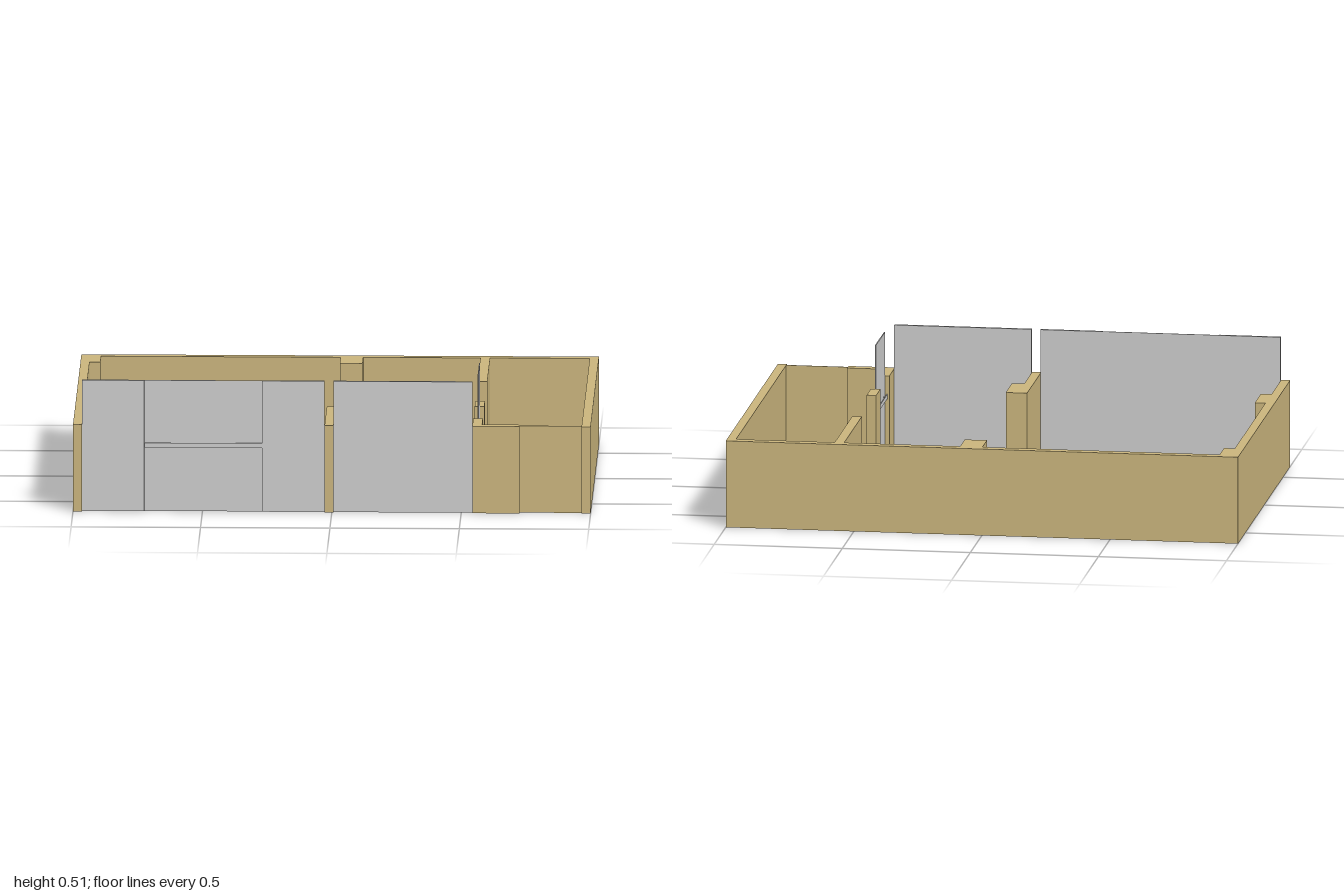
import * as THREE from 'three';

const WALL_H = 0.342;
const PANEL_H = 0.515;
const tan = new THREE.MeshStandardMaterial({ color: 0xc9b47c });
const grey = new THREE.MeshStandardMaterial({ color: 0xcccccc });

// Box given by its lower and upper limits on each axis
function block(parent, name, material, [x0, x1], [y0, y1], [z0, z1]) {
  const mesh = new THREE.Mesh(new THREE.BoxGeometry(x1 - x0, y1 - y0, z1 - z0), material);
  mesh.position.set((x0 + x1) / 2, (y0 + y1) / 2, (z0 + z1) / 2);
  mesh.name = name;
  parent.add(mesh);
}

// Wall standing on the ground, extruded from a plan outline of [x, z] corners
function wall(parent, name, plan) {
  const shape = new THREE.Shape(plan.map(([x, z]) => new THREE.Vector2(x, -z)));
  const geometry = new THREE.ExtrudeGeometry(shape, { depth: WALL_H, bevelEnabled: false });
  geometry.rotateX(-Math.PI / 2);
  const mesh = new THREE.Mesh(geometry, tan);
  mesh.name = name;
  parent.add(mesh);
}

// Thin door leaf along x, centred on its own origin, with a push bar per listed side
function door(name, width, sides) {
  const group = new THREE.Group();
  group.name = name;
  const w = width / 2;
  block(group, 'doorPane', grey, [-w, w], [0, PANEL_H], [-0.002, 0.002]);
  for (const s of sides) {
    const bar = s * 0.01;
    block(group, 'pushBar', grey, [-w, w], [0.252, 0.27], [bar - 0.002, bar + 0.002]);
    for (const x of [-w + 0.035, w - 0.035]) {
      const z = s * 0.005;
      block(group, 'barMount', grey, [x - 0.006, x + 0.006], [0.255, 0.267], [z - 0.004, z + 0.004]);
    }
  }
  return group;
}

export function createModel() {
  const model = new THREE.Group();
  model.name = 'roomPlan';

  // Outer shell with its pilasters and the dividing wall at the back
  wall(model, 'outerWalls', [
    [-1, 0.693], [-1, -0.693], [1, -0.693], [1, 0.693], [0.965, 0.693], [0.965, -0.657],
    [0.58, -0.657], [0.58, -0.19], [0.543, -0.19], [0.543, -0.657],
    [0.09, -0.657], [0.09, -0.535], [0.003, -0.535], [0.003, -0.657],
    [-0.923, -0.657], [-0.923, -0.54], [-0.965, -0.54],
    [-0.965, 0.275], [-0.923, 0.275], [-0.923, 0.435], [-0.965, 0.435], [-0.965, 0.693],
  ]);

  // Front partition with a thicker inner end
  wall(model, 'middlePartition', [
    [-0.028, 0.693], [-0.028, 0.315], [0.055, 0.315], [0.055, 0.48], [0.007, 0.48], [0.007, 0.693],
  ]);

  // Side room: post and L-shaped corner either side of the inner door
  wall(model, 'doorPost', [[0.543, 0.305], [0.543, 0.19], [0.58, 0.19], [0.58, 0.305]]);
  wall(model, 'frontCorner', [
    [0.543, 0.693], [0.543, 0.54], [0.58, 0.54], [0.58, 0.657], [0.725, 0.657], [0.725, 0.693],
  ]);
  block(model, 'thinFrontPanel', tan, [0.725, 0.965], [0, WALL_H], [0.674, 0.677]);

  // Fixed front panels
  for (const span of [[-0.965, -0.725], [-0.27, -0.028], [0.007, 0.543]]) {
    block(model, 'frontPanel', grey, span, [0, PANEL_H], [0.671, 0.683]);
  }

  // Double entrance door
  for (const x of [-0.611, -0.384]) {
    const leaf = door('entranceDoor', 0.227, [1]);
    leaf.position.set(x, 0, 0.675);
    model.add(leaf);
  }

  // Inner door, with bars on both faces
  const inner = door('innerDoor', 0.23, [-1, 1]);
  inner.rotation.y = Math.PI / 2;
  inner.position.set(0.562, 0, 0.425);
  model.add(inner);

  return model;
}
